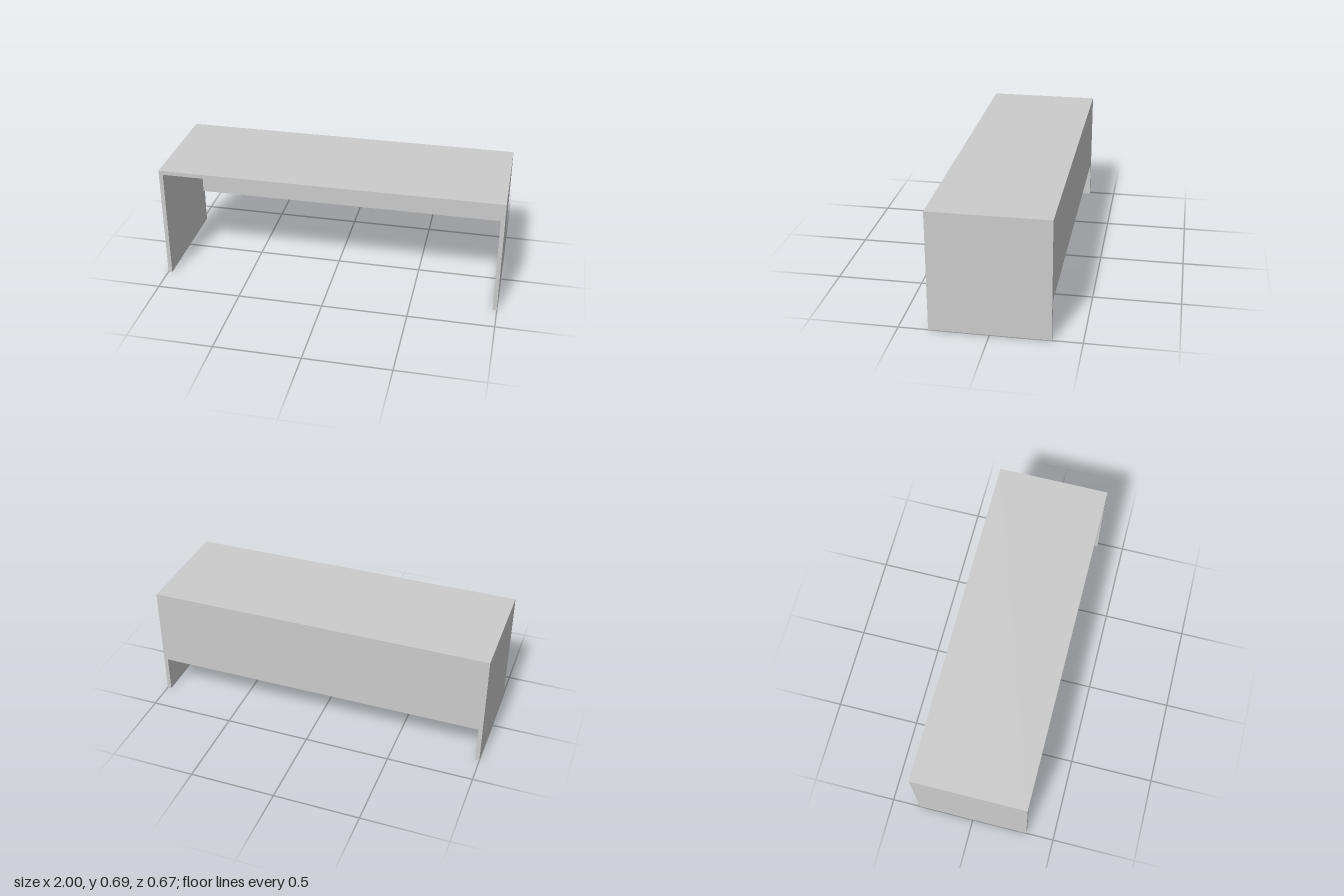
import * as THREE from 'three';

export function createModel() {
  const model = new THREE.Group();
  model.name = 'desk';
  const material = new THREE.MeshStandardMaterial({ color: 0xcccccc, flatShading: true });

  const width = 2, height = 0.695, depth = 0.668, board = 0.024;
  const backBottom = 0.225;
  const innerTop = height - board;

  // Adds a flat board given its size and centre
  function addBoard(name, size, centre) {
    const mesh = new THREE.Mesh(new THREE.BoxGeometry(...size), material);
    mesh.name = name;
    mesh.position.set(...centre);
    model.add(mesh);
  }

  // Desktop spanning the full width
  addBoard('desktop', [width, board, depth], [0, height - board / 2, 0]);

  // Side panels standing on the floor under the desktop
  for (const [name, side] of [['leftSidePanel', 1], ['rightSidePanel', -1]]) {
    addBoard(name, [board, innerTop, depth], [side * (width - board) / 2, innerTop / 2, 0]);
  }

  // Back panel between the sides, flush with the rear edge and open below
  addBoard(
    'backPanel',
    [width - 2 * board, innerTop - backBottom, board],
    [0, (innerTop + backBottom) / 2, -(depth - board) / 2]
  );

  return model;
}
